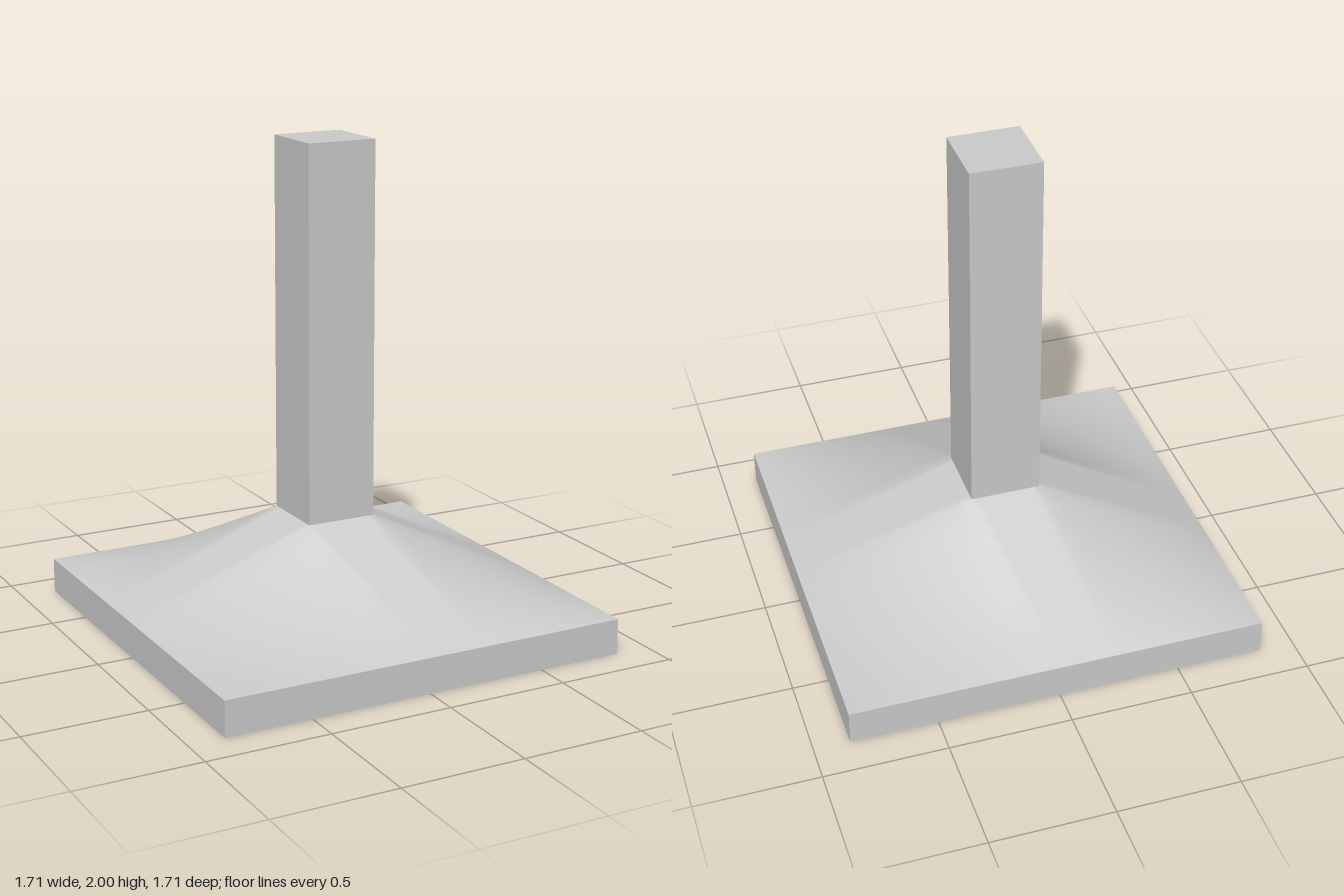
import * as THREE from 'three';
import { mergeVertices } from 'three/addons/utils/BufferGeometryUtils.js';

const HALF = 0.855;   // half width of the base
const NECK = 0.145;   // half width of the column
const RIM = 0.145;    // height of the rim
const TOP = 0.48;     // height where the column starts
const SHIFT = 0.25;   // where the skewed ridge strips meet the rim
const STEPS = 10;     // divisions of each ruled patch

const concrete = new THREE.MeshStandardMaterial({ color: 0xcccccc, side: THREE.DoubleSide });
concrete.name = 'concrete grey';

// Box shell standing at height y, leaving out the listed faces (+x, -x, +y, -y, +z, -z)
function openBox(name, width, height, y, omit) {
  const geometry = new THREE.BoxGeometry(width, height, width);
  const kept = Array.from(geometry.index.array).filter((_, i) => !omit.includes(Math.floor(i / 6)));
  geometry.setIndex(kept);
  geometry.clearGroups();
  geometry.translate(0, y + height / 2, 0);
  const mesh = new THREE.Mesh(geometry, concrete);
  mesh.name = name;
  return mesh;
}

// Triangles of the ruled surface spanned by four corners, a-b inside and c-d outside
function ruledPatch([a, b, c, d]) {
  const at = (i, j) => {
    const inner = a.clone().lerp(b, i / STEPS);
    const outer = c.clone().lerp(d, i / STEPS);
    return inner.lerp(outer, j / STEPS);
  };
  const points = [];
  for (let j = 0; j < STEPS; j++) {
    for (let i = 0; i < STEPS; i++) {
      const p = at(i, j), q = at(i + 1, j), r = at(i, j + 1), s = at(i + 1, j + 1);
      points.push(p, r, s, p, s, q);
    }
  }
  return points;
}

// Saddle roof: ridge strips on the four sides and a hypar in each corner
function saddleShell() {
  const neck = (x, z) => new THREE.Vector3(x * NECK, TOP, z * NECK);
  const rim = (x, z) => new THREE.Vector3(x, RIM, z);
  const frontLeft = neck(-1, 1), frontRight = neck(1, 1), backRight = neck(1, -1);
  const half = [
    // wide corner
    [frontLeft, rim(0, HALF), rim(-HALF, 0), rim(-HALF, HALF)],
    // front ridge strip
    [frontLeft, frontRight, rim(0, HALF), rim(SHIFT, HALF)],
    // narrow corner
    [frontRight, rim(HALF, SHIFT), rim(SHIFT, HALF), rim(HALF, HALF)],
    // side ridge strip
    [frontRight, backRight, rim(HALF, SHIFT), rim(HALF, 0)],
  ].flatMap(ruledPatch);
  const turned = half.map(p => new THREE.Vector3(-p.x, p.y, -p.z));
  const soup = new THREE.BufferGeometry().setFromPoints([...half, ...turned]);
  const geometry = mergeVertices(soup);
  geometry.computeVertexNormals();
  const mesh = new THREE.Mesh(geometry, concrete);
  mesh.name = 'saddleShell';
  return mesh;
}

export function createModel() {
  const group = new THREE.Group();
  group.name = 'columnFooting';
  group.add(
    openBox('baseRim', HALF * 2, RIM, 0, [2, 3]),
    saddleShell(),
    openBox('column', NECK * 2, 2 - TOP, TOP, [3]),
  );
  return group;
}
